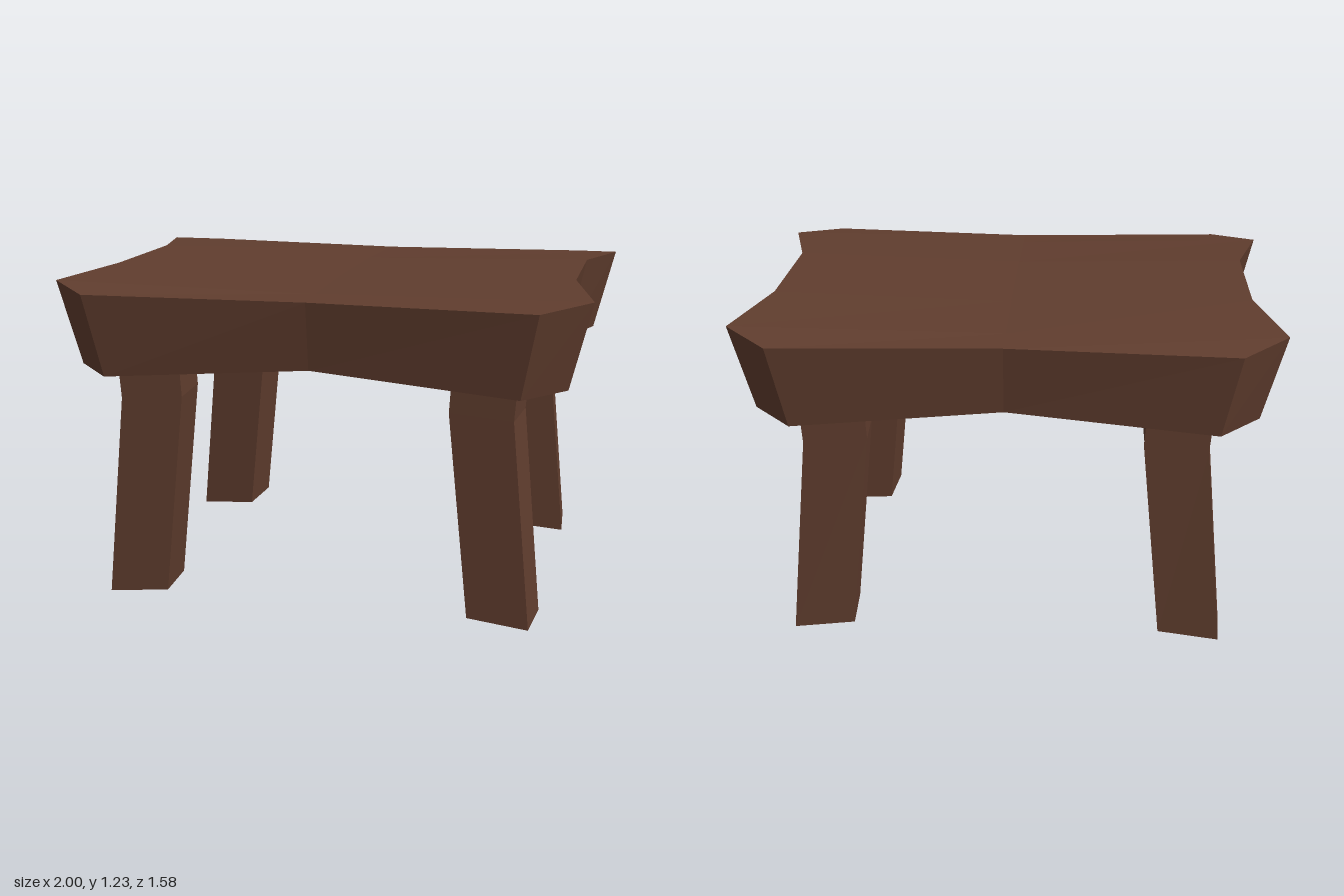
import * as THREE from 'three';

// Build a flat-shaded mesh from a list of quads, each with four [x, y, z] corners
function quadMesh(name, quads, material) {
  const pos = [];
  for (const [a, b, c, d] of quads) pos.push(...a, ...b, ...c, ...a, ...c, ...d);
  const geometry = new THREE.BufferGeometry();
  geometry.setAttribute('position', new THREE.Float32BufferAttribute(pos, 3));
  geometry.computeVertexNormals();
  const mesh = new THREE.Mesh(geometry, material);
  mesh.name = name;
  return mesh;
}

// Side walls between two matching loops, counterclockwise seen from above
function walls(low, high) {
  return low.map((p, i) => {
    const j = (i + 1) % low.length;
    return [p, low[j], high[j], high[i]];
  });
}

// Full outline from the front-centre point and three points of the front-left quarter
function outline(mid, quarter) {
  const flip = ([x, y, z], sx, sz) => [x * sx, y, z * sz];
  const back = [...quarter].reverse();
  return [
    mid,
    ...quarter,
    ...back.map((p) => flip(p, 1, -1)),
    flip(mid, 1, -1),
    ...quarter.map((p) => flip(p, -1, -1)),
    ...back.map((p) => flip(p, -1, 1)),
  ];
}

export function createModel() {
  const group = new THREE.Group();
  group.name = 'stool';
  const wood = new THREE.MeshStandardMaterial({
    color: 0x603d2e, flatShading: true, side: THREE.DoubleSide,
  });
  wood.name = 'dark brown wood';

  // Tabletop: a thin hollow shell, open below
  const edge = [[0.83, 1.195, 0.79], [1, 1.217, 0.63], [0.905, 1.232, 0.26]];
  const centre = [[0, 1.192, 0.735], [0, 1.2, 0.6], [0, 1.21, 0.26]];
  const rimHigh = outline(centre[0], edge);
  const rimLow = outline([0, 0.938, 0.7],
    [[0.77, 0.885, 0.75], [0.92, 0.895, 0.6], [0.84, 0.914, 0.24]]);

  // Slightly saddled top surface in strips from front to back
  const backward = (pts) => [...pts, ...[...pts].reverse().map(([x, y, z]) => [x, y, -z])];
  const side = backward(edge), middle = backward(centre);
  const mirrorX = ([x, y, z]) => [-x, y, z];
  const top = [];
  for (let i = 0; i < side.length - 1; i++) {
    top.push([middle[i], side[i], side[i + 1], middle[i + 1]]);
    top.push([mirrorX(side[i]), middle[i], middle[i + 1], mirrorX(side[i + 1])]);
  }
  group.add(quadMesh('tabletop', top, wood));
  group.add(quadMesh('apron', walls(rimLow, rimHigh), wood));

  // Legs: four-sided, bent near the top; rings run foot, bend, top
  const rings = [
    [[0.815, 0.005, 0.675], [0.83, 0, 0.46], [0.6, 0.02, 0.445], [0.585, 0.025, 0.66]],
    [[0.74, 0.785, 0.665], [0.755, 0.785, 0.447], [0.52, 0.8, 0.437], [0.505, 0.8, 0.652]],
    [[0.77, 1.18, 0.663], [0.785, 1.18, 0.445], [0.545, 1.19, 0.435], [0.53, 1.19, 0.65]],
  ];
  const legQuads = [
    ...walls(rings[0], rings[1]),
    ...walls(rings[1], rings[2]),
    [...rings[0]].reverse(),
    rings[2],
  ];
  for (const sx of [1, -1]) {
    for (const sz of [1, -1]) {
      const quads = legQuads.map((quad) => {
        const q = quad.map(([x, y, z]) => [x * sx, y, z * sz]);
        return sx * sz < 0 ? q.reverse() : q;
      });
      const name = (sz > 0 ? 'front' : 'back') + (sx > 0 ? 'Left' : 'Right') + 'Leg';
      group.add(quadMesh(name, quads, wood));
    }
  }
  return group;
}
